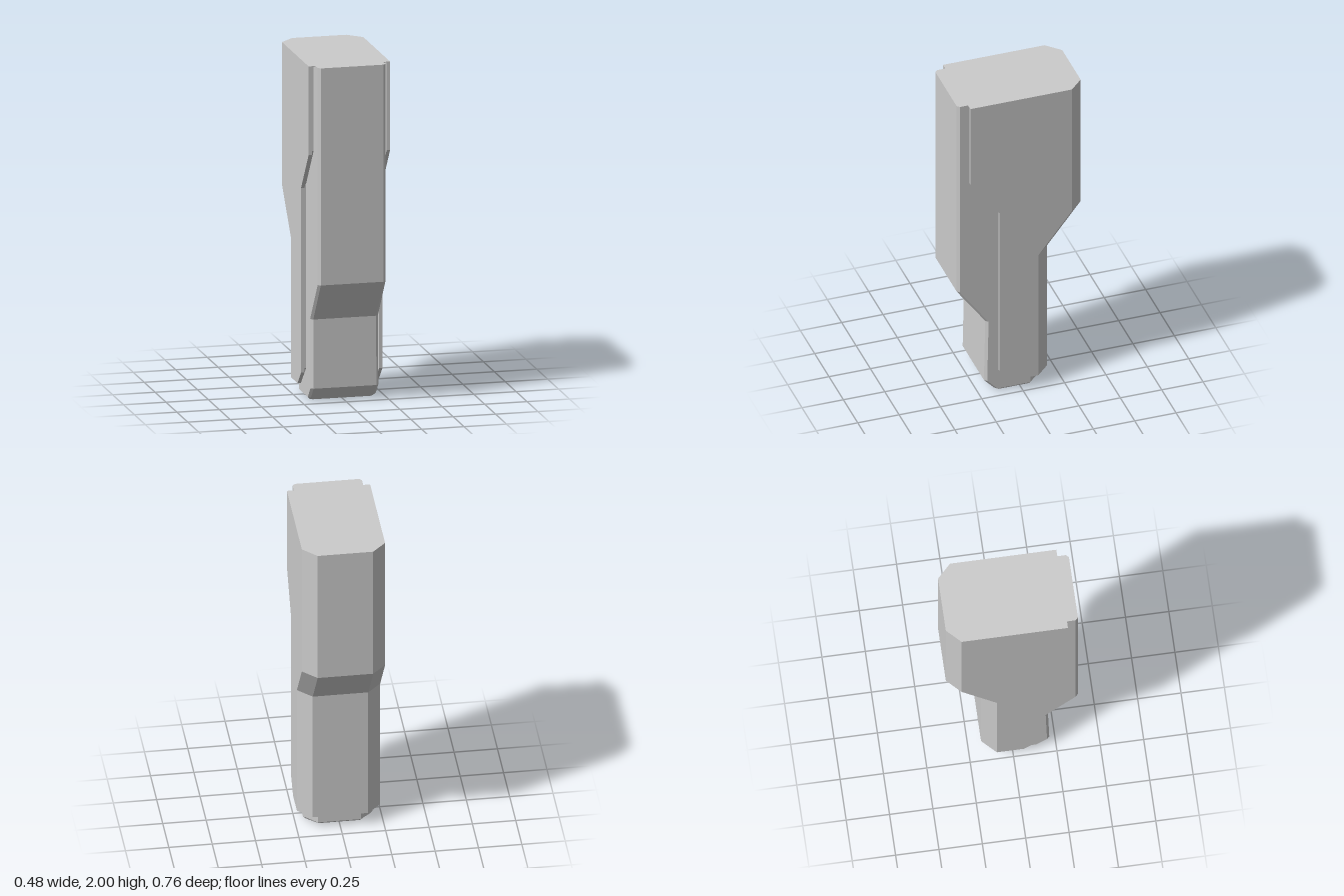
import * as THREE from 'three';

const material = new THREE.MeshStandardMaterial({ color: 0xcccccc, flatShading: true });
const TOP = 1.996; // underside of the thin top plate

// Mirrors one half outline (front to back on +x) into a closed loop of [x, z]
const mirrored = (half) => [...half, ...half.slice().reverse().map(([x, z]) => [-x, z])];

// Piecewise linear value at height y from [y, value] pairs
function at(profile, y) {
  for (let i = 1; i < profile.length; i++) {
    const [y0, v0] = profile[i - 1], [y1, v1] = profile[i];
    if (y <= y1) return v0 + (v1 - v0) * (y - y0) / (y1 - y0);
  }
  return profile[profile.length - 1][1];
}

// Solid through horizontal cross-sections, closed at both ends
function loft(name, levels, section) {
  const loops = levels.map((y) => section(y));
  const n = loops[0].length;
  const positions = [], index = [];
  loops.forEach((loop, k) => loop.forEach(([x, z]) => positions.push(x, levels[k], z)));
  for (let k = 0; k < levels.length - 1; k++) {
    for (let i = 0; i < n; i++) {
      const a = k * n + i, b = k * n + (i + 1) % n;
      index.push(a, b, b + n, a, b + n, a + n);
    }
  }
  const cap = (loop) => THREE.ShapeUtils.triangulateShape(loop.map(([x, z]) => new THREE.Vector2(x, -z)), []);
  const last = (levels.length - 1) * n;
  cap(loops[0]).forEach(([a, b, c]) => index.push(a, c, b));
  cap(loops[levels.length - 1]).forEach(([a, b, c]) => index.push(last + a, last + b, last + c));
  const indexed = new THREE.BufferGeometry();
  indexed.setAttribute('position', new THREE.Float32BufferAttribute(positions, 3));
  indexed.setIndex(index);
  const geometry = indexed.toNonIndexed();
  geometry.computeVertexNormals();
  const mesh = new THREE.Mesh(geometry, material);
  mesh.name = name;
  return mesh;
}

export function createModel() {
  const group = new THREE.Group();
  group.name = 'steppedCasing';

  // Front and back edges of each layer as [y, z]
  const coreFront = [[0, 0.14], [0.08, 0.215], [0.485, 0.207], [0.725, 0.38], [2, 0.38]];
  const shellFront = [[0.08, 0.06], [0.16, 0.14], [1.245, 0.14], [1.48, 0.315], [2, 0.315]];
  const linerFront = [[0.12, 0.043], [0.177, 0.1], [1.258, 0.1], [1.493, 0.275], [2, 0.275]];
  const back = [[0.08, -0.175], [0.905, -0.175], [1.165, -0.378], [2, -0.378]];

  // Inner body with small front chamfers and a bevelled foot
  group.add(loft('innerBody', [0, 0.015, 0.08, 0.485, 0.725, TOP], (y) => {
    const front = at(coreFront, y);
    const inset = y === 0 ? 0.015 : 0;
    return mirrored([
      [0.185 - inset, front], [0.2 - inset, front - 0.015],
      [0.2 - inset, -0.06], [0.125 - inset / 2, -0.135 + inset],
    ]);
  }));

  // Recessed layer that leaves a groove behind the rim of the shell
  group.add(loft('recessedLiner', [0.12, 0.177, 0.905, 1.165, 1.258, 1.493, TOP], (y) => {
    const b = at(back, y);
    return mirrored([[0.22, at(linerFront, y)], [0.22, b + 0.088], [0.152, b + 0.02]]);
  }));

  // Outer skin wrapping the sides and back
  group.add(loft('outerShell', [0.08, 0.16, 0.905, 1.165, 1.245, 1.48, TOP], (y) => {
    const f = at(shellFront, y), b = at(back, y);
    const outer = mirrored([[0.24, f], [0.24, b + 0.08], [0.16, b]]);
    const inner = mirrored([[0.22, f], [0.22, b + 0.088], [0.152, b + 0.02]]);
    return [...outer, ...inner.reverse()];
  }));

  // Flat plate closing all layers at the top
  group.add(loft('topPlate', [TOP, 2], () => mirrored([
    [0.185, 0.38], [0.2, 0.365], [0.2, 0.315], [0.24, 0.315], [0.24, -0.298], [0.16, -0.378],
  ])));

  return group;
}
